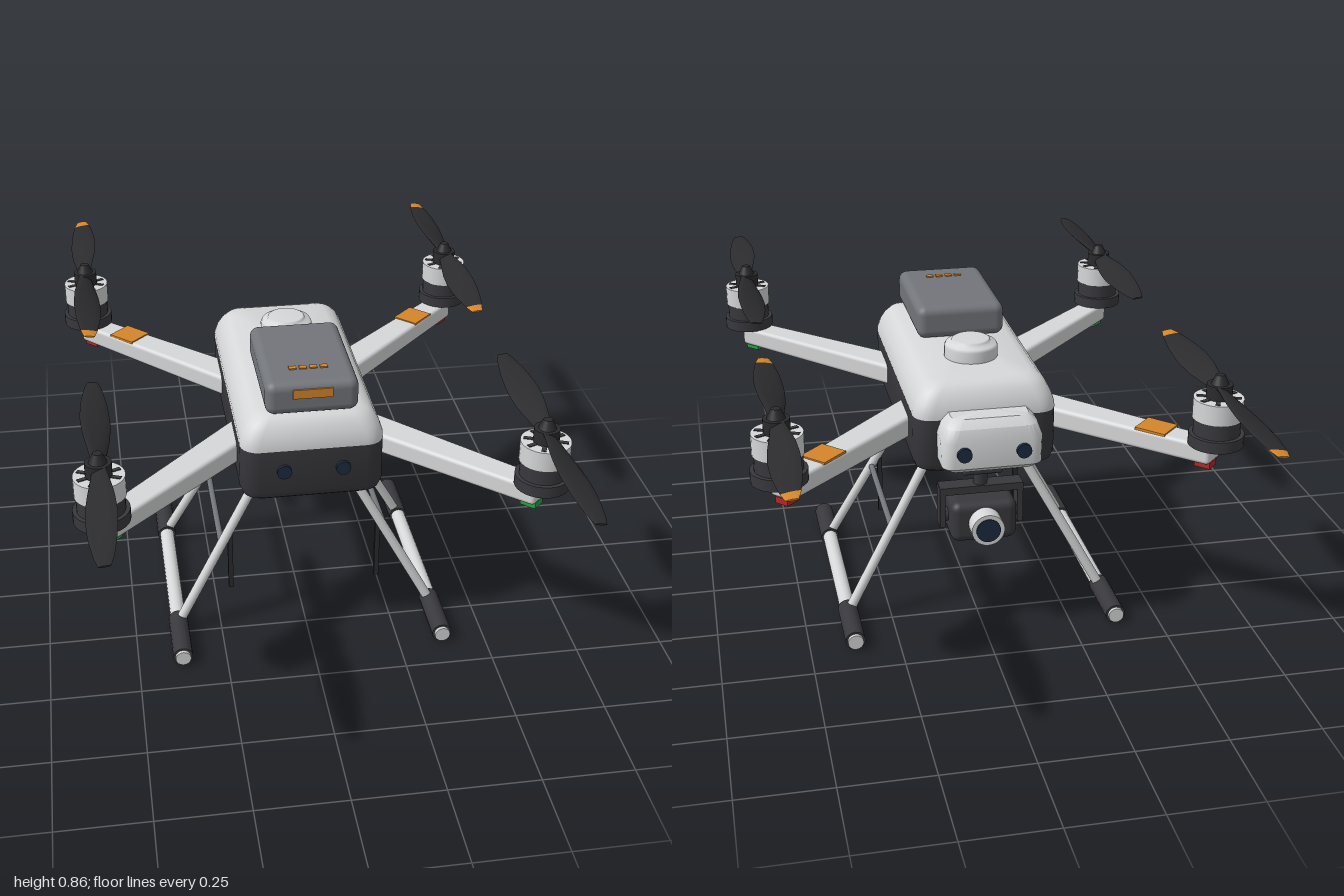
import * as THREE from 'three';
import { toCreasedNormals } from 'three/addons/utils/BufferGeometryUtils.js';
import { RoundedBoxGeometry } from 'three/addons/geometries/RoundedBoxGeometry.js';

const mat = (name, color) => {
  const m = new THREE.MeshStandardMaterial({ color });
  m.name = name;
  return m;
};

// Skin a stack of equal-length rings and close both ends
function loft(rings, crease = 0.6) {
  const n = rings[0].length, pos = [];
  const tri = (...ps) => ps.forEach(p => pos.push(p.x, p.y, p.z));
  const mid = r => r.reduce((s, p) => s.add(p), new THREE.Vector3()).divideScalar(n);
  const first = rings[0], last = rings[rings.length - 1], c0 = mid(first), c1 = mid(last);
  for (let i = 0; i < n; i++) {
    const j = (i + 1) % n;
    for (let k = 0; k + 1 < rings.length; k++) {
      const a = rings[k], b = rings[k + 1];
      tri(a[i], b[i], a[j]);
      tri(a[j], b[i], b[j]);
    }
    tri(c0, first[i], first[j]);
    tri(c1, last[j], last[i]);
  }
  const g = new THREE.BufferGeometry();
  g.setAttribute('position', new THREE.Float32BufferAttribute(pos, 3));
  return toCreasedNormals(g, crease);
}

// Rounded rectangle ring in the horizontal plane
function ring(y, hx, hz, r, z0 = 0) {
  const pts = [];
  [[1, 1], [-1, 1], [-1, -1], [1, -1]].forEach(([sx, sz], q) => {
    for (let i = 0; i <= 5; i++) {
      const a = (q + i / 5) * Math.PI / 2;
      pts.push(new THREE.Vector3(sx * (hx - r) + r * Math.cos(a), y, z0 + sz * (hz - r) + r * Math.sin(a)));
    }
  });
  return pts;
}

// Half of a propeller between two radii, pointing along +z
function bladeGeometry(s0, s1, hand) {
  const table = [[0.02, 0.02], [0.07, 0.027], [0.14, 0.037], [0.22, 0.041], [0.31, 0.036], [0.39, 0.025], [0.43, 0.015]];
  const halfWidth = s => {
    const i = Math.max(1, table.findIndex(t => t[0] >= s - 1e-6));
    const [a, b] = [table[i - 1], table[i]];
    return THREE.MathUtils.lerp(a[1], b[1], (s - a[0]) / (b[0] - a[0]));
  };
  const rings = [];
  for (let k = 0; k <= 12; k++) {
    const s = s0 + (s1 - s0) * k / 12, w = halfWidth(s);
    const twist = hand * (0.5 - 0.9 * s), t = 0.007 - 0.011 * s;
    rings.push(Array.from({ length: 12 }, (_, i) => {
      const a = i / 12 * Math.PI * 2, x = w * Math.cos(a), z = t * Math.sin(a);
      return new THREE.Vector3(x * Math.cos(twist) - z * Math.sin(twist), s, x * Math.sin(twist) + z * Math.cos(twist));
    }));
  }
  return loft(rings, 1).rotateX(Math.PI / 2);
}

export function createModel() {
  const light = mat('light shell', 0xd6d7d8), dark = mat('dark shell', 0x39383d);
  const grey = mat('battery grey', 0x72757a), black = mat('propeller black', 0x2b2b2e);
  const orange = mat('orange accent', 0xd5862b), glass = mat('lens glass', 0x1c2a3e);
  const green = mat('green light', 0x27a243), red = mat('red light', 0xb32828);
  const model = new THREE.Group();
  model.name = 'quadcopter';

  const add = (name, geo, m, x = 0, y = 0, z = 0, parent = model) => {
    const mesh = new THREE.Mesh(geo, m);
    mesh.name = name;
    mesh.position.set(x, y, z);
    parent.add(mesh);
    return mesh;
  };
  const box = (w, h, d, r = 0) => r ? new RoundedBoxGeometry(w, h, d, 3, r) : new THREE.BoxGeometry(w, h, d);
  const cyl = (r0, r1, h, n = 28) => new THREE.CylinderGeometry(r0, r1, h, n);
  const tube = (name, a, b, r, m) => {
    const p = new THREE.Vector3(...a), d = new THREE.Vector3(...b).sub(p);
    const mesh = add(name, cyl(r, r, d.length(), 16), m);
    mesh.position.copy(p).addScaledVector(d, 0.5);
    mesh.quaternion.setFromUnitVectors(new THREE.Vector3(0, 1, 0), d.normalize());
  };

  // Body: dark tub, light lid, rear sensor nose
  add('lowerBody', loft([
    ring(0.505, 0.155, 0.33, 0.03), ring(0.509, 0.172, 0.35, 0.04), ring(0.52, 0.187, 0.365, 0.045),
    ring(0.54, 0.195, 0.373, 0.05), ring(0.67, 0.195, 0.373, 0.05)]), dark);
  add('upperBody', loft([
    ring(0.668, 0.195, 0.375, 0.05), ring(0.685, 0.194, 0.374, 0.05), ring(0.71, 0.186, 0.367, 0.05),
    ring(0.735, 0.173, 0.355, 0.05), ring(0.752, 0.157, 0.34, 0.045), ring(0.76, 0.135, 0.32, 0.04)]), light);
  add('sensorNose', loft([
    ring(0.545, 0.115, 0.075, 0.02, -0.37), ring(0.56, 0.135, 0.092, 0.03, -0.37), ring(0.635, 0.137, 0.095, 0.035, -0.37),
    ring(0.67, 0.125, 0.085, 0.035, -0.37), ring(0.69, 0.105, 0.06, 0.03, -0.37)]), light);
  for (const s of [-1, 1]) {
    for (const [z, name] of [[0.374, 'frontSensor'], [-0.467, 'rearSensor']])
      add(name, cyl(0.02, 0.02, 0.016).rotateX(Math.PI / 2), glass, s * 0.08, 0.605, z);
    add('bellySensor', cyl(0.018, 0.018, 0.012), black, s * 0.06, 0.502, 0.075);
  }

  // Battery with charge lights, and the antenna dome
  add('battery', box(0.25, 0.095, 0.365, 0.025), grey, 0, 0.807, 0.167);
  add('batteryLabel', box(0.106, 0.026, 0.006), orange, 0, 0.824, 0.35);
  for (let i = 0; i < 4; i++)
    add('chargeLight', box(0.02, 0.006, 0.016), orange, -0.042 + i * 0.028, 0.855, 0.262);
  add('antennaDome', new THREE.LatheGeometry([[0.074, 0.755], [0.074, 0.79], [0.07, 0.798], [0.055, 0.8],
    [0.053, 0.808], [0.048, 0.811], [0, 0.811]].map(p => new THREE.Vector2(...p)), 36), light, 0, 0, -0.15);

  // Arms, motors and propellers
  const reach = 0.57 * Math.SQRT2;
  for (const sx of [-1, 1]) for (const sz of [-1, 1]) {
    const arm = new THREE.Group();
    arm.name = (sz > 0 ? 'front' : 'rear') + (sx > 0 ? 'Left' : 'Right') + 'Arm';
    arm.rotation.y = Math.atan2(-sz, sx);
    model.add(arm);
    const beam = box(0.62, 0.06, 0.1, 0.012), p = beam.attributes.position;
    for (let i = 0; i < p.count; i++) {
      const t = p.getX(i) / 0.62 + 0.5;
      p.setZ(i, p.getZ(i) * (1.02 - 0.32 * t));
      p.setY(i, p.getY(i) * (1.04 - 0.12 * t));
    }
    add('armBeam', beam, light, reach - 0.31, 0.603, 0, arm);
    add('navigationLight', box(0.045, 0.018, 0.04), sz > 0 ? green : red, reach - 0.025, 0.568, 0, arm);
    if (sz < 0) add('armBand', box(0.088, 0.007, 0.079), orange, 0.633, 0.632, 0, arm);

    const motor = new THREE.Group();
    motor.name = 'motor';
    motor.position.set(sx * 0.57, 0, sz * 0.57);
    model.add(motor);
    add('motorMount', cyl(0.073, 0.073, 0.032), dark, 0, 0.646, 0, motor);
    add('motorStator', cyl(0.062, 0.062, 0.045), dark, 0, 0.682, 0, motor);
    add('motorBell', cyl(0.066, 0.066, 0.056), light, 0, 0.732, 0, motor);
    for (let i = 0; i < 8; i++) {
      const a = i * Math.PI / 4 + 0.39;
      add('bellSlot', box(0.026, 0.004, 0.012), dark, 0.045 * Math.cos(a), 0.76, -0.045 * Math.sin(a), motor).rotation.y = a;
    }
    add('propellerHub', cyl(0.034, 0.034, 0.04), black, 0, 0.778, 0, motor);
    add('hubCap', cyl(0.012, 0.024, 0.026), black, 0, 0.81, 0, motor);
    const hand = sx * sz, tipStart = sz < 0 ? 0.393 : 0.43;
    for (const turn of [0, Math.PI]) {
      add('propellerBlade', bladeGeometry(0.02, tipStart, hand), black, 0, 0.787, 0, motor).rotation.y = turn;
      if (sz < 0) add('propellerTip', bladeGeometry(tipStart, 0.43, hand), orange, 0, 0.787, 0, motor).rotation.y = turn;
    }
  }

  // Landing gear
  for (const s of [-1, 1]) {
    for (const f of [-1, 1]) {
      tube('landingLeg', [s * 0.105, 0.52, f * 0.182], [s * 0.372, 0.035, f * 0.24], 0.014, light);
      tube('skidGrip', [s * 0.375, 0.03, f * 0.22], [s * 0.375, 0.03, f * 0.4], 0.028, dark);
    }
    tube('skid', [s * 0.375, 0.03, -0.41], [s * 0.375, 0.03, 0.41], 0.022, light);
    tube('crossBar', [s * 0.24, 0.273, -0.21], [s * 0.24, 0.273, 0.21], 0.009, grey);
    add('antenna', box(0.014, 0.18, 0.014), black, s * 0.215, 0.21, 0.205);
  }

  // Gimbal and camera, looking to the rear
  const gimbal = new THREE.Group();
  gimbal.name = 'gimbal';
  gimbal.position.z = -0.285;
  model.add(gimbal);
  add('gimbalPlate', box(0.112, 0.04, 0.08, 0.008), dark, 0, 0.492, 0, gimbal);
  add('gimbalStem', cyl(0.02, 0.02, 0.06), dark, 0, 0.452, 0, gimbal);
  add('gimbalYoke', box(0.232, 0.022, 0.05), dark, 0, 0.421, 0, gimbal);
  for (const s of [-1, 1]) {
    add('yokeArm', box(0.016, 0.12, 0.05), dark, s * 0.11, 0.371, 0, gimbal);
    add('tiltPivot', cyl(0.02, 0.02, 0.03).rotateZ(Math.PI / 2), dark, s * 0.098, 0.342, 0, gimbal);
  }
  add('cameraBody', box(0.186, 0.12, 0.14, 0.025), dark, 0, 0.34, 0, gimbal);
  add('lensBarrel', cyl(0.046, 0.046, 0.055).rotateX(Math.PI / 2), light, 0, 0.34, -0.09, gimbal);
  add('lensGlass', cyl(0.034, 0.034, 0.006).rotateX(Math.PI / 2), glass, 0, 0.34, -0.118, gimbal);
  return model;
}
